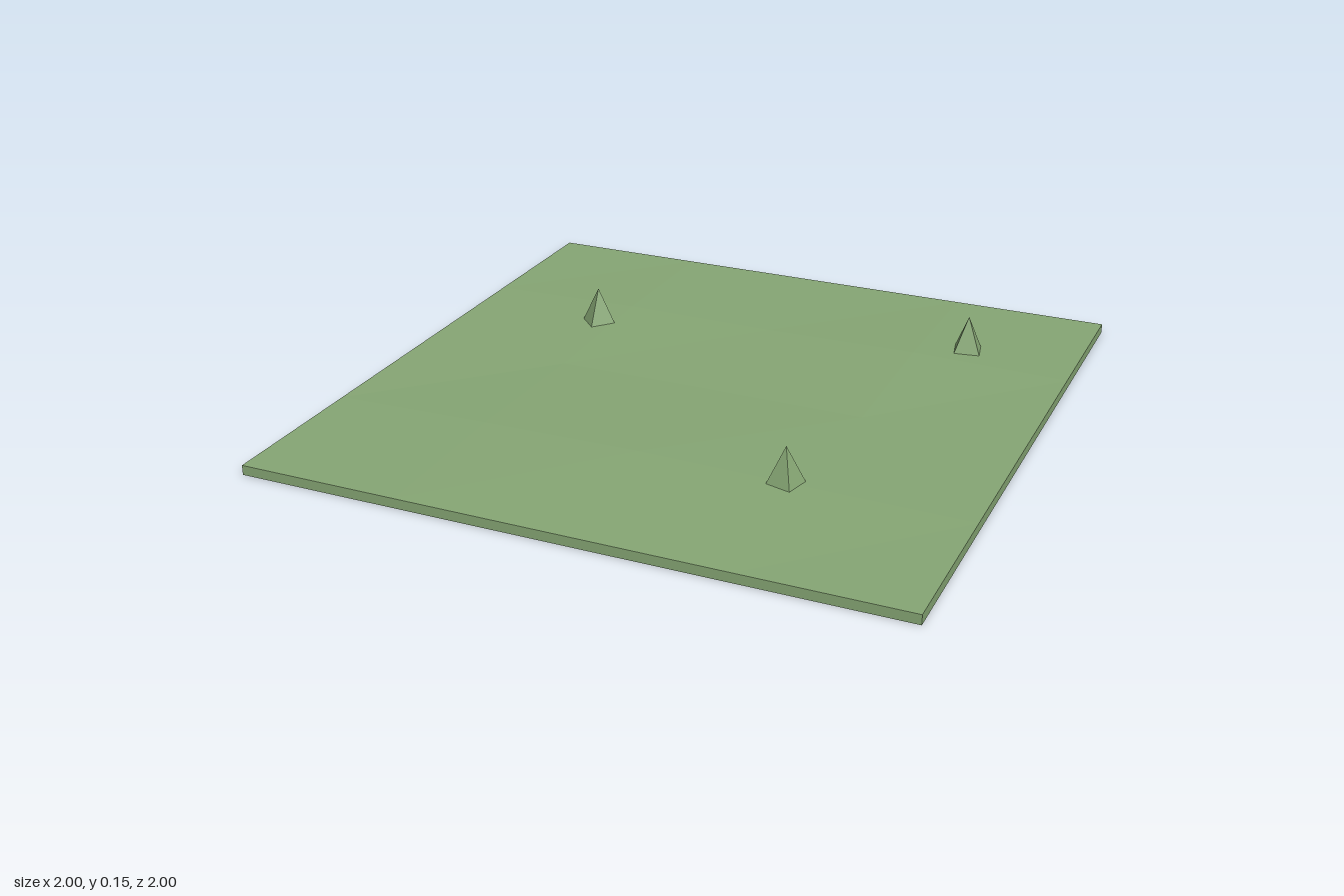
import * as THREE from 'three';

const EDGE = 0.03; // height of the slab's rim

// Gentle ground heights at the 3 x 3 inner grid points (rows run back to front)
const BUMPS = [
  [0.039, 0.035, 0.04],
  [0.028, 0.03, 0.028],
  [0.04, 0.045, 0.037],
];

function heightAt(i, j) {
  const inside = i > 0 && i < 4 && j > 0 && j < 4;
  return inside ? BUMPS[j - 1][i - 1] : EDGE;
}

// 4 x 4 grid of faceted cells whose diagonals alternate like a checkerboard
function groundTop() {
  const positions = [];
  const point = (i, j) => [i / 2 - 1, heightAt(i, j), j / 2 - 1];
  for (let j = 0; j < 4; j++) {
    for (let i = 0; i < 4; i++) {
      const a = point(i, j), b = point(i, j + 1);
      const c = point(i + 1, j + 1), d = point(i + 1, j);
      const corners = (i + j) % 2 === 0 ? [a, b, d, b, c, d] : [a, b, c, a, c, d];
      positions.push(...corners.flat());
    }
  }
  const geometry = new THREE.BufferGeometry();
  geometry.setAttribute('position', new THREE.Float32BufferAttribute(positions, 3));
  geometry.computeVertexNormals();
  return geometry;
}

// Slab sides and underside: a box without its top face
function slabBody() {
  const geometry = new THREE.BoxGeometry(2, EDGE, 2).translate(0, EDGE / 2, 0);
  const index = Array.from(geometry.index.array);
  index.splice(12, 6);
  geometry.setIndex(index);
  return geometry;
}

export function createModel() {
  const group = new THREE.Group();
  group.name = 'grassTile';
  const grass = new THREE.MeshStandardMaterial({ color: 0x86a674, flatShading: true });
  grass.name = 'grass green';

  const add = (name, geometry) => {
    const mesh = new THREE.Mesh(geometry, grass);
    mesh.name = name;
    group.add(mesh);
    return mesh;
  };

  add('groundTop', groundTop());
  add('slabBody', slabBody());

  // Four-sided grass tufts: x, z, turn
  const tufts = [
    [-0.55, -0.35, 0],
    [0.45, 0.5, 0.55],
    [0.65, -0.6, 1.0],
  ];
  for (const [x, z, turn] of tufts) {
    const tuft = add('grassTuft', new THREE.ConeGeometry(0.06, 0.12, 4));
    tuft.position.set(x, EDGE + 0.06, z);
    tuft.rotation.y = turn;
  }
  return group;
}
